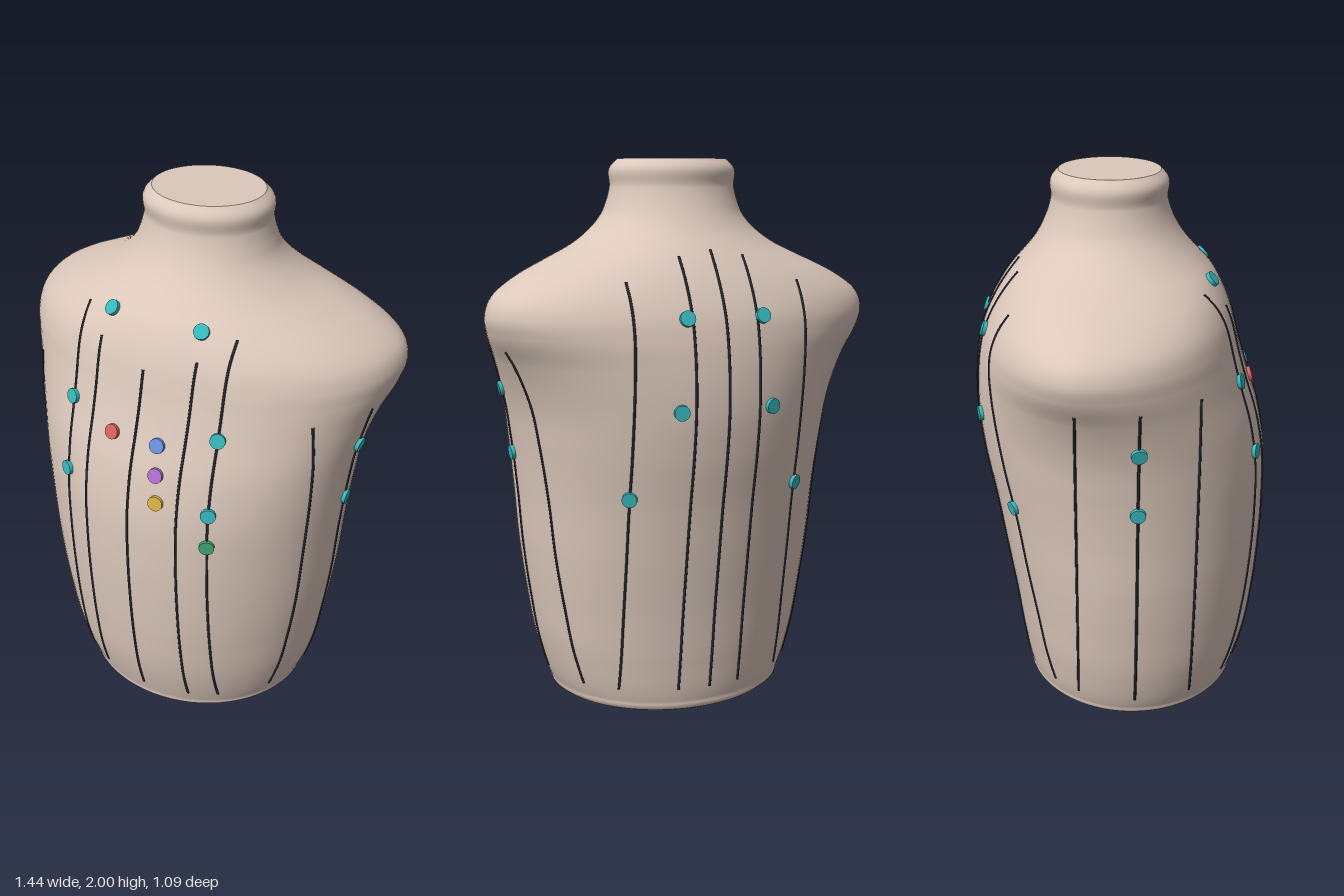
import * as THREE from 'three';
import { ParametricGeometry } from 'three/addons/geometries/ParametricGeometry.js';

// Torso cross-sections: height, half width, front z, back z, z of the widest point
const SECTIONS = [
  [0.00, 0.415, 0.41, -0.345, 0.03],
  [0.015, 0.445, 0.435, -0.37, 0.03],
  [0.05, 0.462, 0.447, -0.38, 0.03],
  [0.20, 0.51, 0.49, -0.405, 0.03],
  [0.40, 0.545, 0.52, -0.43, 0.03],
  [0.60, 0.57, 0.535, -0.46, 0.03],
  [0.80, 0.585, 0.54, -0.49, 0.03],
  [1.00, 0.605, 0.53, -0.525, 0.02],
  [1.15, 0.627, 0.50, -0.54, 0.00],
  [1.30, 0.67, 0.45, -0.535, -0.06],
  [1.40, 0.71, 0.42, -0.52, -0.12],
  [1.46, 0.72, 0.405, -0.505, -0.14],
  [1.53, 0.69, 0.385, -0.475, -0.14],
  [1.60, 0.59, 0.355, -0.435, -0.12],
  [1.65, 0.485, 0.325, -0.40, -0.10],
  [1.70, 0.38, 0.28, -0.36, -0.075],
  [1.75, 0.31, 0.235, -0.32, -0.055],
  [1.80, 0.265, 0.20, -0.29, -0.045],
  [1.85, 0.243, 0.175, -0.268, -0.045],
  [1.90, 0.23, 0.16, -0.253, -0.045],
  [1.98, 0.222, 0.155, -0.245, -0.045],
  [2.00, 0.20, 0.135, -0.225, -0.045],
];

// Smooth (Hermite) cross-section at any height
function sectionAt(y) {
  const S = SECTIONS, n = S.length;
  let i = 0;
  while (i < n - 2 && y > S[i + 1][0]) i++;
  const h = S[i + 1][0] - S[i][0];
  const t = THREE.MathUtils.clamp((y - S[i][0]) / h, 0, 1);
  const slope = (k, c) => {
    const lo = Math.max(k - 1, 0), hi = Math.min(k + 1, n - 1);
    if (lo === k || hi === k) return (S[hi][c] - S[lo][c]) / (S[hi][0] - S[lo][0]);
    const h0 = S[k][0] - S[lo][0], h1 = S[hi][0] - S[k][0];
    return ((S[k][c] - S[lo][c]) / h0 * h1 + (S[hi][c] - S[k][c]) / h1 * h0) / (h0 + h1);
  };
  const [a, front, back, zc] = [1, 2, 3, 4].map((c) => {
    const t2 = t * t, t3 = t2 * t;
    return (2 * t3 - 3 * t2 + 1) * S[i][c] + (t3 - 2 * t2 + t) * h * slope(i, c)
      + (3 * t2 - 2 * t3) * S[i + 1][c] + (t3 - t2) * h * slope(i + 1, c);
  });
  return { a, zc, front: front - zc, back: zc - back };
}

// Point on the skin at a height and an angle (0 = left side, PI/2 = front)
function ringPoint(y, angle, target) {
  const s = sectionAt(y), k = Math.sin(angle);
  return target.set(s.a * Math.cos(angle), y, s.zc + k * (k > 0 ? s.front : s.back));
}

// Point on the skin seen from the front, back, left or right; across is x or z
function skinPoint(side, across, y) {
  const s = sectionAt(y);
  if (side === 'front' || side === 'back') {
    const r = Math.sqrt(Math.max(0, 1 - (across / s.a) ** 2));
    return new THREE.Vector3(across, y, side === 'front' ? s.zc + s.front * r : s.zc - s.back * r);
  }
  const d = across - s.zc;
  const x = s.a * Math.sqrt(Math.max(0, 1 - (d / (d > 0 ? s.front : s.back)) ** 2));
  return new THREE.Vector3(side === 'left' ? x : -x, y, across);
}

// Outward direction of the skin, from two small steps along it
function skinNormal(side, across, y) {
  const e = 0.004;
  const u = skinPoint(side, across + e, y).sub(skinPoint(side, across - e, y));
  const v = skinPoint(side, across, y + e).sub(skinPoint(side, across, y - e));
  const n = u.cross(v).normalize();
  const out = { front: n.z, back: -n.z, left: n.x, right: -n.x }[side];
  return out < 0 ? n.negate() : n;
}

const paint = (color) => {
  const m = new THREE.MeshStandardMaterial();
  m.color.set(color);
  return m;
};

export function createModel() {
  const model = new THREE.Group();
  const skin = paint(0xdcc8bb);
  const add = (parent, name, geometry, material) => {
    const mesh = new THREE.Mesh(geometry, material);
    mesh.name = name;
    parent.add(mesh);
    return mesh;
  };

  // Torso skin with flat ends
  const torso = new THREE.Group();
  torso.name = 'torso';
  model.add(torso);
  add(torso, 'torsoSkin', new ParametricGeometry(
    (u, v, p) => ringPoint(2 * v, -2 * Math.PI * u, p), 96, 160), skin);
  for (const [name, y, up] of [['neckTop', 2, 1], ['base', 0, -1]]) {
    const outline = [];
    for (let i = 0; i < 96; i++) {
      const p = ringPoint(y, (i / 96) * 2 * Math.PI, new THREE.Vector3());
      outline.push(new THREE.Vector2(p.x, -up * p.z));
    }
    const cap = new THREE.ShapeGeometry(new THREE.Shape(outline));
    cap.rotateX(-up * Math.PI / 2);
    add(torso, name, cap, skin).position.y = y;
  }

  // Thin vertical guide lines lying on the skin: side, x or z, top height
  const lines = new THREE.Group();
  lines.name = 'guideLines';
  model.add(lines);
  const lineMaterial = paint(0x22262e);
  const lineList = [
    ['front', -0.3, 1.63], ['front', -0.2, 1.56], ['front', -0.01, 1.5],
    ['front', 0.175, 1.56], ['front', 0.28, 1.63],
    ['back', -0.33, 1.58], ['back', -0.13, 1.67], ['back', -0.01, 1.69],
    ['back', 0.11, 1.67], ['back', 0.31, 1.59],
  ];
  for (const side of ['left', 'right']) {
    for (const z of [0.23, 0.02, -0.19]) lineList.push([side, z, 1.35]);
  }
  for (const [side, across, top] of lineList) {
    const points = [];
    for (let i = 0; i <= 30; i++) {
      points.push(skinPoint(side, across, THREE.MathUtils.lerp(0.1, top, i / 30)));
    }
    const path = new THREE.CatmullRomCurve3(points);
    add(lines, side + 'Line', new THREE.TubeGeometry(path, 60, 0.005, 6), lineMaterial);
  }

  // Small round markers: side, x or z, height, colour
  const markers = new THREE.Group();
  markers.name = 'markers';
  model.add(markers);
  const teal = 0x35b8bc;
  const markerList = [
    ['front', -0.18, 1.645, teal], ['front', 0.165, 1.645, teal],
    ['front', -0.1, 1.26, 0xd96060], ['front', 0.08, 1.26, 0x6a8fdc],
    ['front', 0.09, 1.16, 0xb070d0], ['front', 0.1, 1.06, 0xd9b045],
    ['front', 0.28, 0.91, 0x3fa573],
  ];
  for (const y of [1.31, 1.04]) markerList.push(['front', -0.3, y, teal], ['front', 0.28, y, teal]);
  for (const y of [1.19, 0.95]) markerList.push(['left', 0.02, y, teal], ['right', 0.02, y, teal]);
  for (const [x, y] of [[0.14, 1.47], [0.17, 1.16], [0.32, 0.85]]) {
    markerList.push(['back', x - 0.01, y, teal], ['back', -x - 0.01, y, teal]);
  }
  const disc = new THREE.CylinderGeometry(0.027, 0.027, 0.018, 24);
  const up = new THREE.Vector3(0, 1, 0);
  for (const [side, across, y, color] of markerList) {
    const marker = add(markers, side + 'Marker', disc, paint(color));
    const normal = skinNormal(side, across, y);
    marker.position.copy(skinPoint(side, across, y)).addScaledVector(normal, 0.004);
    marker.quaternion.setFromUnitVectors(up, normal);
  }
  return model;
}
